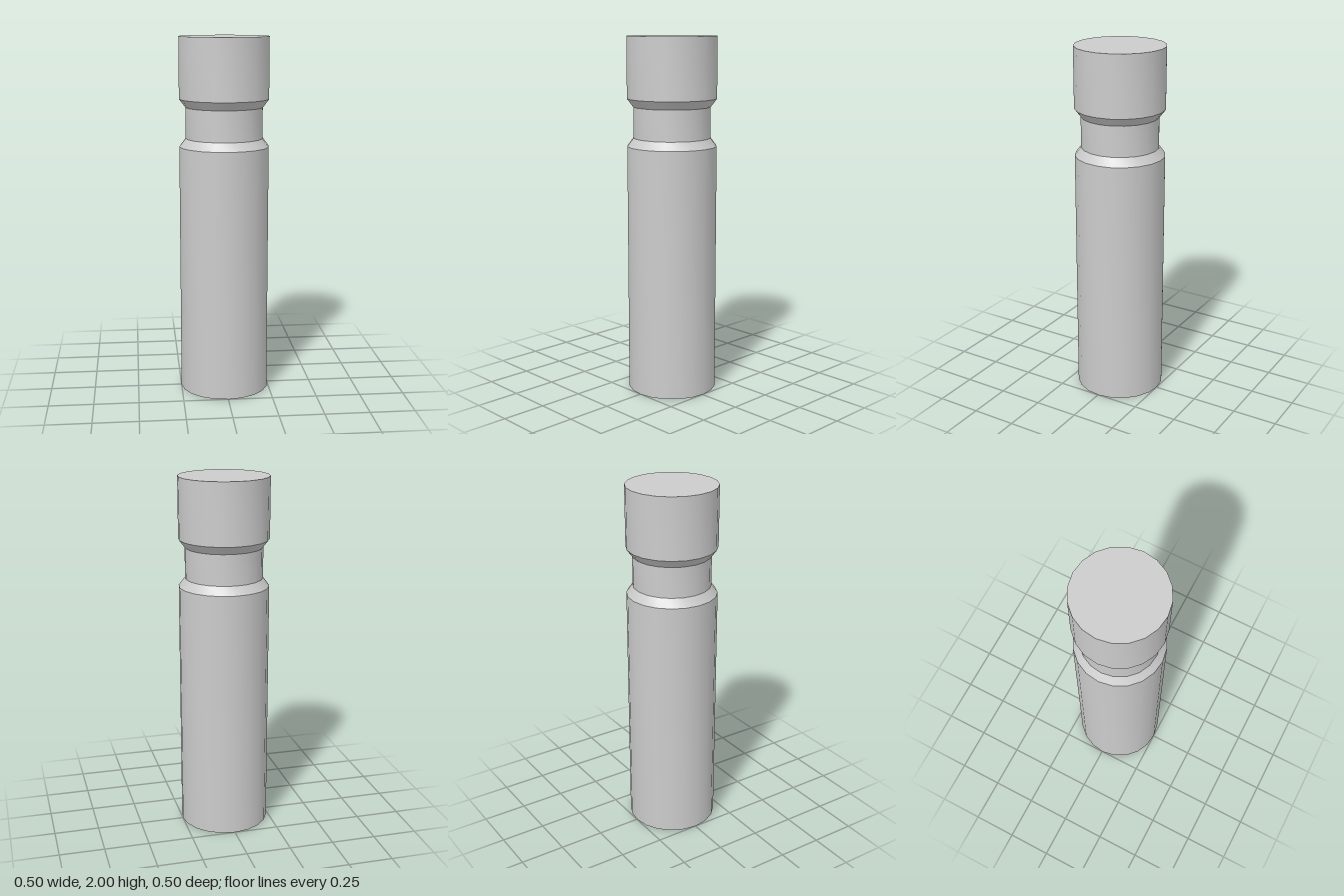
import * as THREE from 'three';
import { toCreasedNormals } from 'three/addons/utils/BufferGeometryUtils.js';

export function createModel() {
  const model = new THREE.Group();
  model.name = 'groovedPin';

  // Profile of the pin: [radius, height], from the bottom centre to the top centre
  const profile = [
    [0, 0], [0.25, 0],        // base
    [0.25, 1.398],            // long shaft
    [0.215, 1.444],           // lower chamfer
    [0.215, 1.615],           // groove
    [0.25, 1.661],            // upper chamfer
    [0.25, 2], [0, 2],        // head
  ].map(([r, y]) => new THREE.Vector2(r, y));

  // Twenty-sided body, smooth around and sharp at the rims
  const geometry = toCreasedNormals(new THREE.LatheGeometry(profile, 20), 0.5);
  const pin = new THREE.Mesh(geometry, new THREE.MeshStandardMaterial({ color: 0xcccccc }));
  pin.name = 'pinBody';
  pin.rotation.y = 0.02;
  model.add(pin);

  return model;
}
